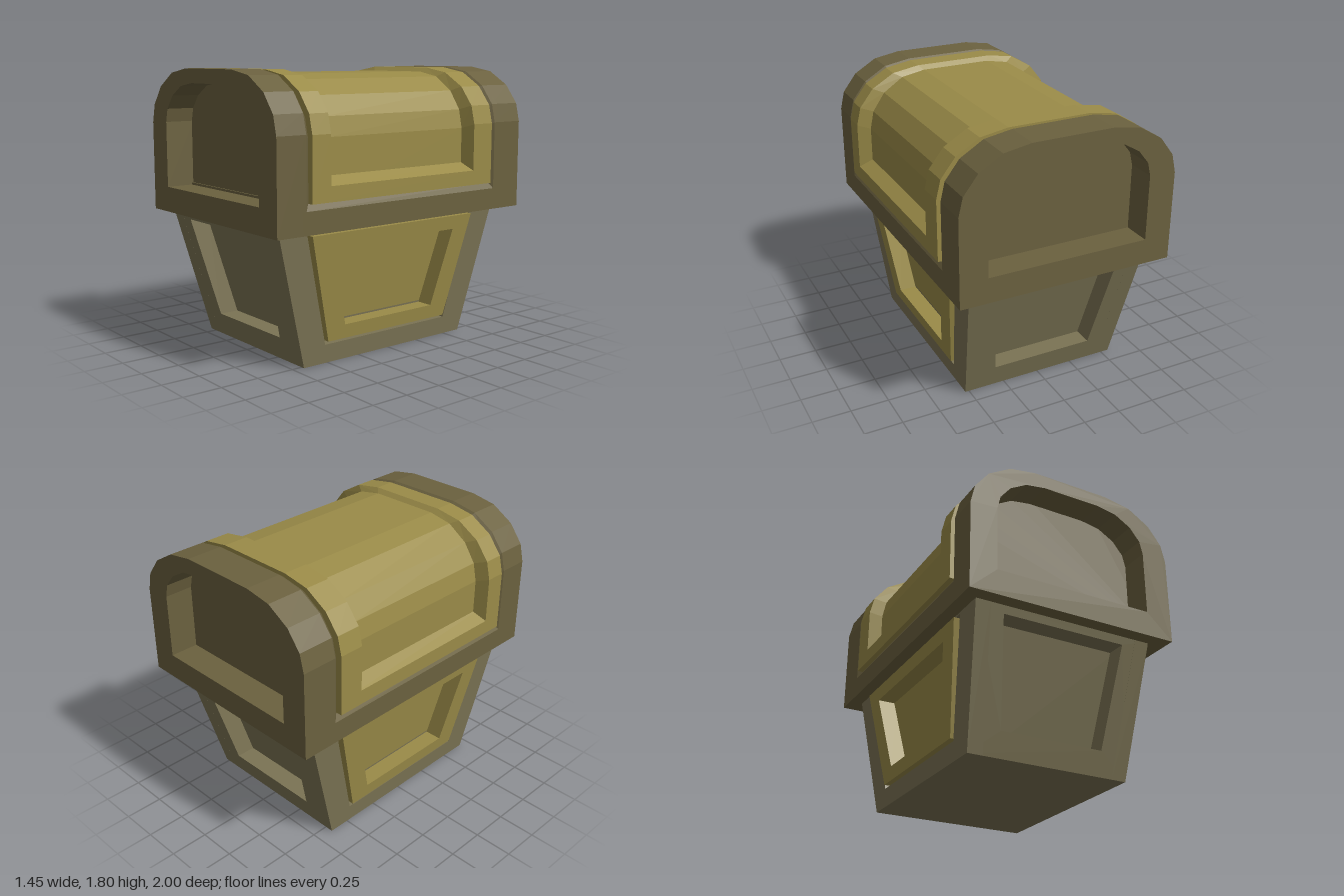
import * as THREE from 'three';

const mat = (color) => new THREE.MeshStandardMaterial({ color, flatShading: true });
const V = (x, y) => new THREE.Vector2(x, y);

// Arch outline, counter-clockwise: half width, base, top and corner drop
function arch(w, y0, top, k = 1) {
  const corner = [[1, 0.36], [0.96, 0.24], [0.83, 0.12], [0.62, 0.03], [0.37, 0]];
  const right = [V(w, y0), ...corner.map(([f, d]) => V(w * f, top - d * k))];
  return [...right, ...right.map((p) => V(-p.x, p.y)).reverse()];
}

// Trapezoid outline: bottom height and half width, top height and half width
const trapezoid = (yb, hb, yt, ht) => [V(-hb, yb), V(hb, yb), V(ht, yt), V(-ht, yt)];

// Straight slab between z0 and z1, optionally with an opening
function slab(outline, z0, z1, hole) {
  const shape = new THREE.Shape(outline);
  if (hole) shape.holes.push(new THREE.Path(hole));
  return new THREE.ExtrudeGeometry(shape, { depth: z1 - z0, bevelEnabled: false }).translate(0, 0, z0);
}

// Wall slab leaning outward: its face sits at offset + slope * y
function leaningSlab(outline, hole, offset, slope, z0, z1) {
  const g = slab(outline, z0, z1, hole);
  const p = g.attributes.position;
  for (let i = 0; i < p.count; i++) p.setZ(i, p.getZ(i) + offset + slope * p.getY(i));
  g.computeVertexNormals();
  return g;
}

// Closed skin through convex sections [outline, z], ordered front to back
function loft(sections) {
  const n = sections[0][0].length, pos = [], index = [];
  for (const [pts, z] of sections) for (const p of pts) pos.push(p.x, p.y, z);
  for (let s = 0; s < sections.length - 1; s++) {
    for (let j = 0; j < n; j++) {
      const a = s * n + j, b = s * n + (j + 1) % n, c = a + n, d = b + n;
      index.push(c, d, a, d, b, a);
    }
  }
  const last = (sections.length - 1) * n;
  for (let j = 1; j < n - 1; j++) {
    index.push(0, j, j + 1, last, last + j + 1, last + j);
  }
  const g = new THREE.BufferGeometry();
  g.setAttribute('position', new THREE.Float32BufferAttribute(pos, 3));
  g.setIndex(index);
  const flat = g.toNonIndexed();
  flat.computeVertexNormals();
  return flat;
}

export function createModel() {
  const model = new THREE.Group();
  model.name = 'chest';
  const lidWood = mat(0x6b613f), bodyWood = mat(0x7b7354), brass = mat(0x9a8b48);
  const add = (parent, name, geometry, material) => {
    const m = new THREE.Mesh(geometry, material);
    m.name = name;
    parent.add(m);
    return m;
  };

  // Tapered lower body
  const body = new THREE.Group();
  body.name = 'body';
  body.position.set(-0.015, 0, 0.02);
  model.add(body);

  // Core that closes the floor and the backs of the recesses
  const core = new THREE.BoxGeometry(2, 0.87, 2).translate(0, 0.435, 0);
  const p = core.attributes.position;
  for (let i = 0; i < p.count; i++) {
    const y = p.getY(i);
    p.setX(i, p.getX(i) * (0.44 + 0.083 * y));
    p.setZ(i, p.getZ(i) * (0.53 + 0.264 * y));
  }
  core.computeVertexNormals();
  add(body, 'bodyCore', core, bodyWood);

  // Front and back walls with a sunken panel
  const endWall = leaningSlab(trapezoid(0, 0.54, 0.87, 0.612),
    trapezoid(0.155, 0.345, 0.81, 0.42), 0.66, 0.264, -0.13, 0);
  add(body, 'frontWall', endWall, bodyWood);
  add(body, 'backWall', endWall, bodyWood).rotation.y = Math.PI;

  // Side walls, each holding a brass frame with a sunken plate
  const sideOpening = trapezoid(0.12, 0.505, 0.85, 0.685);
  const sideWall = leaningSlab(trapezoid(0, 0.66, 0.87, 0.89), sideOpening, 0.54, 0.083, -0.1, 0);
  const frameOpening = trapezoid(0.23, 0.365, 0.74, 0.505);
  const frame = leaningSlab(trapezoid(0.14, 0.49, 0.83, 0.665), frameOpening, 0.548, 0.112, -0.14, 0);
  const plate = leaningSlab(frameOpening, null, 0.548, 0.112, -0.15, -0.115);
  for (const [side, s] of [['left', 1], ['right', -1]]) {
    const g = new THREE.Group();
    g.name = side + 'Side';
    g.rotation.y = s * Math.PI / 2;
    add(g, side + 'Wall', sideWall, bodyWood);
    add(g, side + 'BrassFrame', frame, brass);
    add(g, side + 'BrassPlate', plate, brass);
    body.add(g);
  }

  // Domed lid
  const lid = new THREE.Group();
  lid.name = 'lid';
  model.add(lid);

  // Rail around the base of the lid
  add(lid, 'lidRail', slab([V(-0.715, 0.86), V(0.715, 0.86), V(0.715, 1), V(0.69, 1.04),
    V(-0.69, 1.04), V(-0.715, 1)], -0.8, 0.82), lidWood);

  // Arched end rims with a deep opening
  const rim = arch(0.715, 0.86, 1.8), opening = arch(0.535, 1.025, 1.71, 0.72);
  add(lid, 'frontRim', slab(rim, 0.8, 1, opening), lidWood);
  add(lid, 'backRim', slab(rim, -1, -0.76, opening), lidWood);

  // Chamfered walls behind the rims
  const wide = arch(0.715, 1, 1.8), narrow = arch(0.68, 1, 1.77);
  add(lid, 'frontEndWall', loft([[wide, 0.81], [wide, 0.795], [narrow, 0.755]]), lidWood);
  add(lid, 'backEndWall', loft([[narrow, -0.72], [wide, -0.76], [wide, -0.81]]), lidWood);

  // Brass dome: raised band, sunken panel, raised band
  const band = arch(0.725, 1.04, 1.797), panel = arch(0.64, 1.04, 1.77);
  add(lid, 'brassDome', loft([[band, 0.76], [band, 0.625], [panel, 0.595],
    [panel, -0.525], [band, -0.555], [band, -0.722]]), brass);

  // Brass sill joining the bands along both sides
  add(lid, 'brassSill', slab([V(-0.725, 1.04), V(0.725, 1.04), V(0.725, 1.135), V(0.64, 1.185),
    V(-0.64, 1.185), V(-0.725, 1.135)], -0.72, 0.758), brass);

  return model;
}
